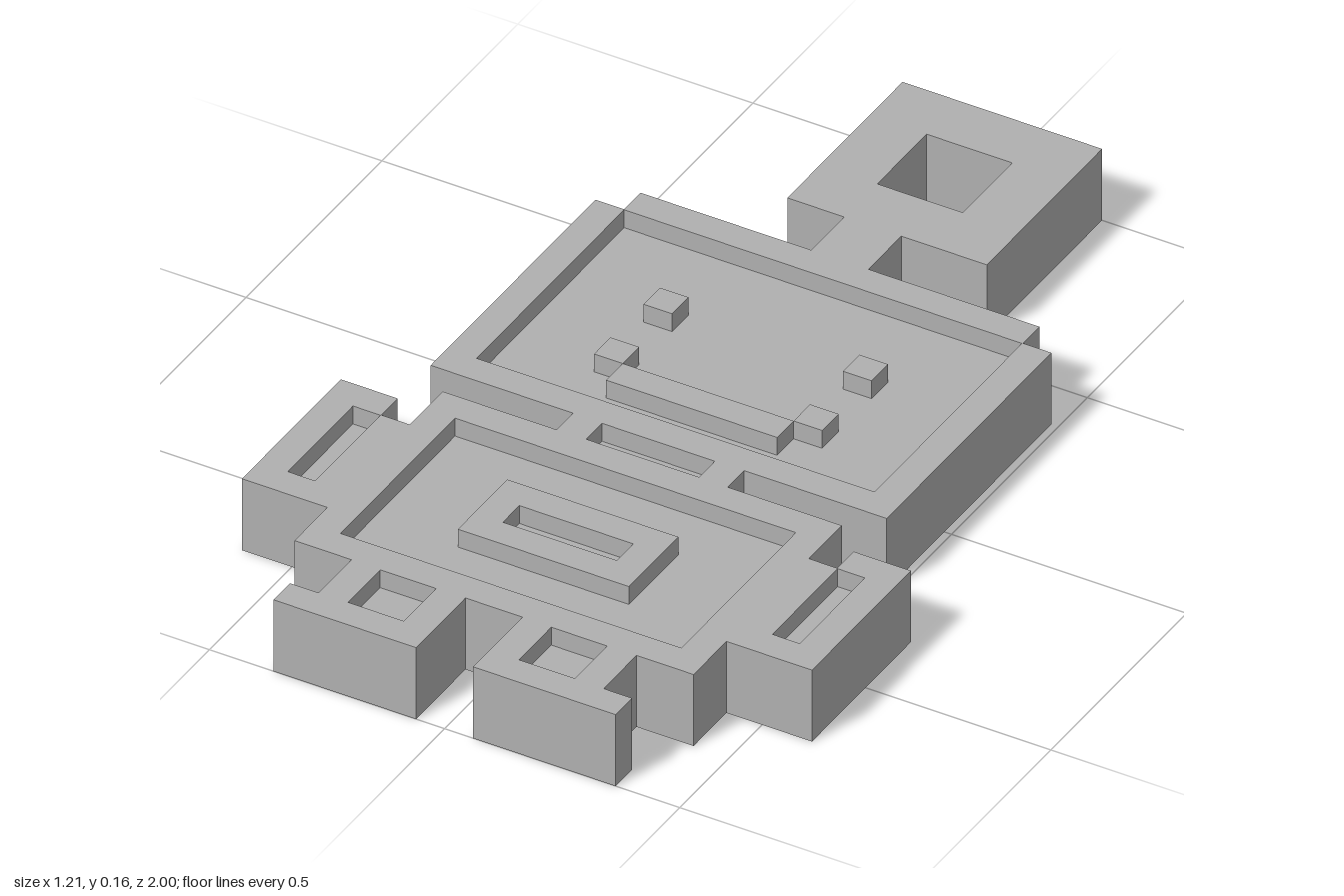
import * as THREE from 'three';

const U = 2 / 33;          // one grid cell
const BASE = 2 * U;        // thickness of the solid plate
const TOP = (8 / 3) * U;   // height of the raised relief

const grey = new THREE.MeshStandardMaterial({ color: 0xb0b0b0 });
grey.name = 'grey plastic';

// points are [x, z] in grid cells
const toPoints = (list) => list.map(([x, z]) => new THREE.Vector2(x * U, z * U));

const rect = (x0, z0, x1, z1, inset = 0) => toPoints([
  [x0 + inset, z0 + inset], [x1 - inset, z0 + inset],
  [x1 - inset, z1 - inset], [x0 + inset, z1 - inset],
]);

// extrude a plan-view outline between two heights
function slab(name, outline, holes, y0, y1) {
  const shape = new THREE.Shape(outline);
  for (const h of holes) shape.holes.push(new THREE.Path(h));
  const geo = new THREE.ExtrudeGeometry(shape, { depth: y1 - y0, bevelEnabled: false });
  geo.rotateX(Math.PI / 2);
  geo.translate(0, y1, 0);
  const mesh = new THREE.Mesh(geo, grey);
  mesh.name = name;
  return mesh;
}

export function createModel() {
  const model = new THREE.Group();
  model.name = 'robotTag';

  // silhouette: head, neck, torso, arm and foot on one side, then mirrored
  const side = [
    [1, -9.5], [1, -7.5], [7, -7.5], [7, -6.5], [8, -6.5], [8, 3.5], [3, 3.5], [3, 4.5],
    [7, 4.5], [7, 6.5], [8, 6.5], [8, 5.5], [10, 5.5], [10, 11.5], [7, 11.5], [7, 13.5],
    [5, 13.5], [5, 15.5], [6, 15.5], [6, 16.5], [1, 16.5], [1, 13.5],
  ];
  const mirrored = side.map(([x, z]) => [-x, z]).reverse();
  const loop = [[-3, -9.5], [-3, -16.5], [4, -16.5], [4, -9.5]];
  const outline = toPoints([...side, ...mirrored, ...loop]);
  const ringHole = rect(-1, -14.5, 2, -11.5);

  model.add(slab('basePlate', outline, [ringHole], 0, BASE));

  // raised rim with sunken face, neck, torso, arms and legs
  // (a hair of inset keeps recess corners off the outline)
  const e = 0.02;
  const recesses = [
    rect(-7, -6.5, 7, 2.5, e),
    rect(-2, 3.5, 2, 4.5, e),
    rect(-6, 5.5, 6, 12.5, e),
    rect(8, 6.5, 9, 10.5, e), rect(-9, 6.5, -8, 10.5, e),
    rect(2, 13.5, 4, 15.5, e), rect(-4, 13.5, -2, 15.5, e),
  ];
  model.add(slab('raisedRim', outline, [ringHole, ...recesses], BASE, TOP));

  // face
  for (const [label, x] of [['left', 3], ['right', -4]]) {
    model.add(slab(label + 'Eye', rect(x, -3.5, x + 1, -2.5), [], BASE, TOP));
    model.add(slab(label + 'MouthCorner', rect(x, -0.5, x + 1, 0.5), [], BASE, TOP));
  }
  model.add(slab('mouth', rect(-3, 0.5, 3, 1.5), [], BASE, TOP));

  // chest panel frame
  model.add(slab('chestPanel', rect(-3, 7.5, 3, 10.5), [rect(-2, 8.5, 2, 9.5)], BASE, TOP));

  return model;
}
